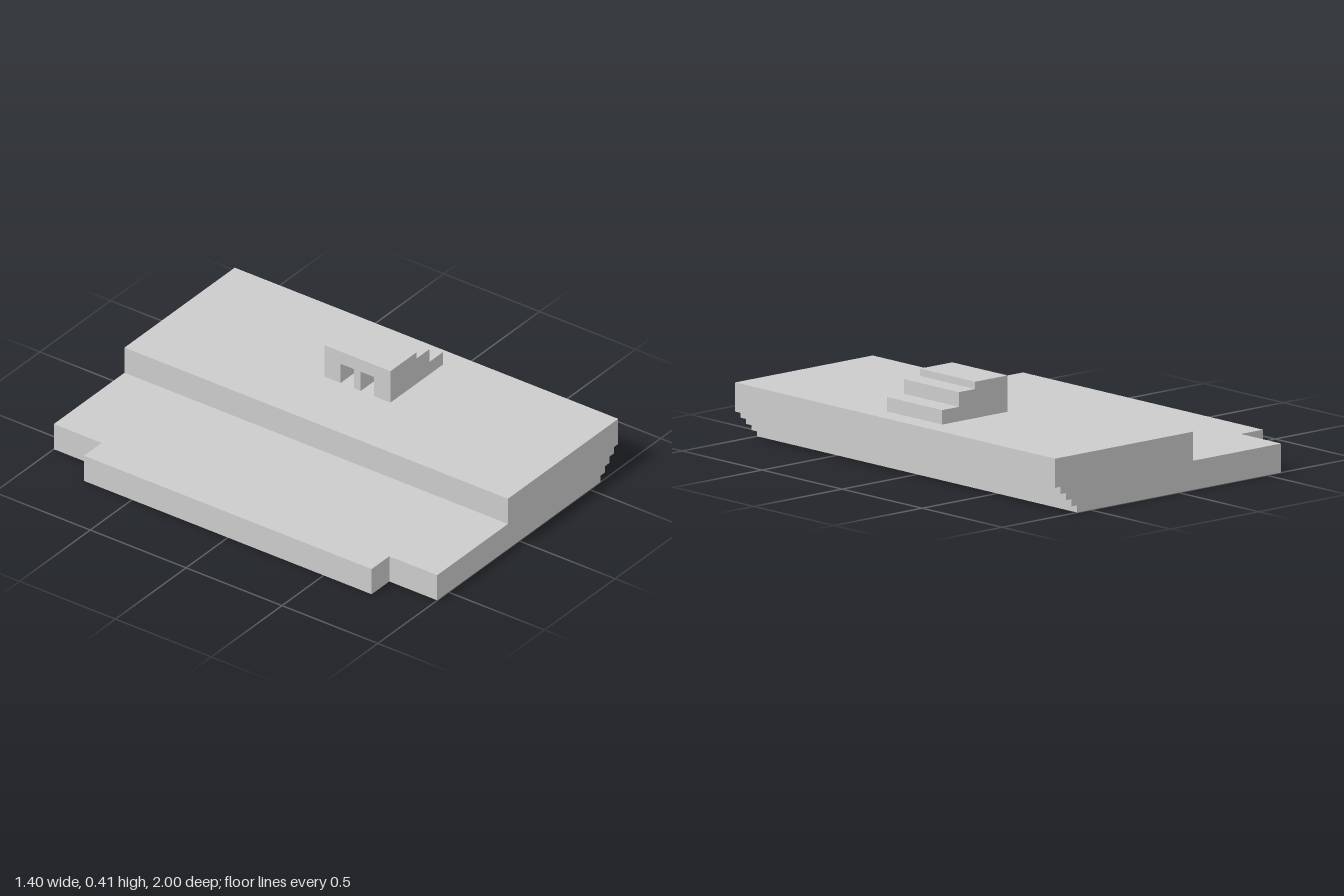
import * as THREE from 'three';

const material = new THREE.MeshStandardMaterial({ color: 0xcccccc, flatShading: true });

// Two narrow passages: each enters the cabin from -x and drops through the hull
const passages = [[-0.105, -0.035], [0, 0.07]];
const SHAFT_START = 0.43, SHAFT_END = 0.47;

// Horizontal slab: plan outline in [x, z], extruded from y0 up to y1
function slab(name, outline, y0, y1, holes = []) {
  const toPoints = (pts) => pts.map(([x, z]) => new THREE.Vector2(x, -z));
  const shape = new THREE.Shape(toPoints(outline));
  for (const h of holes) shape.holes.push(new THREE.Path(toPoints(h)));
  const geo = new THREE.ExtrudeGeometry(shape, { depth: y1 - y0, bevelEnabled: false });
  geo.rotateX(-Math.PI / 2);
  geo.translate(0, y0, 0);
  const mesh = new THREE.Mesh(geo, material);
  mesh.name = name;
  return mesh;
}

const rect = (x0, x1, z0, z1) => [[x0, z0], [x1, z0], [x1, z1], [x0, z1]];

// Cabin plan with the passages cut in from its -x side
function cabinPlan(x1, slotted) {
  const x0 = 0.235, z0 = -0.19, z1 = 0.155;
  if (!slotted) return rect(x0, x1, z0, z1);
  const pts = [[x0, z0], [x1, z0], [x1, z1], [x0, z1]];
  for (const [a, b] of [...passages].reverse()) {
    pts.push([x0, b], [SHAFT_END, b], [SHAFT_END, a], [x0, a]);
  }
  return pts;
}

export function createModel() {
  const group = new THREE.Group();
  const shafts = passages.map(([a, b]) => rect(SHAFT_START, SHAFT_END, a, b));

  // Lower hull: four layers stepping outward at +x, with a tab at -x
  const hull = new THREE.Group();
  hull.name = 'steppedHull';
  const step = 0.125 / 4;
  for (let i = 0; i < 4; i++) {
    const x1 = 0.575 + i * step;
    const outline = [
      [-0.58, -1], [x1, -1], [x1, 1], [-0.58, 1],
      [-0.58, 0.75], [-0.705, 0.75], [-0.705, -0.75], [-0.58, -0.75],
    ];
    hull.add(slab('hullLayer' + (i + 1), outline, i * step, (i + 1) * step, shafts));
  }
  group.add(hull);

  // Raised deck over the +x half
  group.add(slab('upperDeck', rect(-0.08, 0.7, -1, 1), 0.125, 0.25, shafts));

  // Stepped cabin with the passage openings in its lower part
  const cabin = new THREE.Group();
  cabin.name = 'steppedCabin';
  const layers = [
    [0.605, 0.25, 0.312, true],
    [0.51, 0.312, 0.345, true],
    [0.51, 0.345, 0.375, false],
    [0.418, 0.375, 0.406, false],
  ];
  layers.forEach(([x1, y0, y1, slotted], i) => {
    cabin.add(slab('cabinLayer' + (i + 1), cabinPlan(x1, slotted), y0, y1));
  });
  group.add(cabin);

  return group;
}
